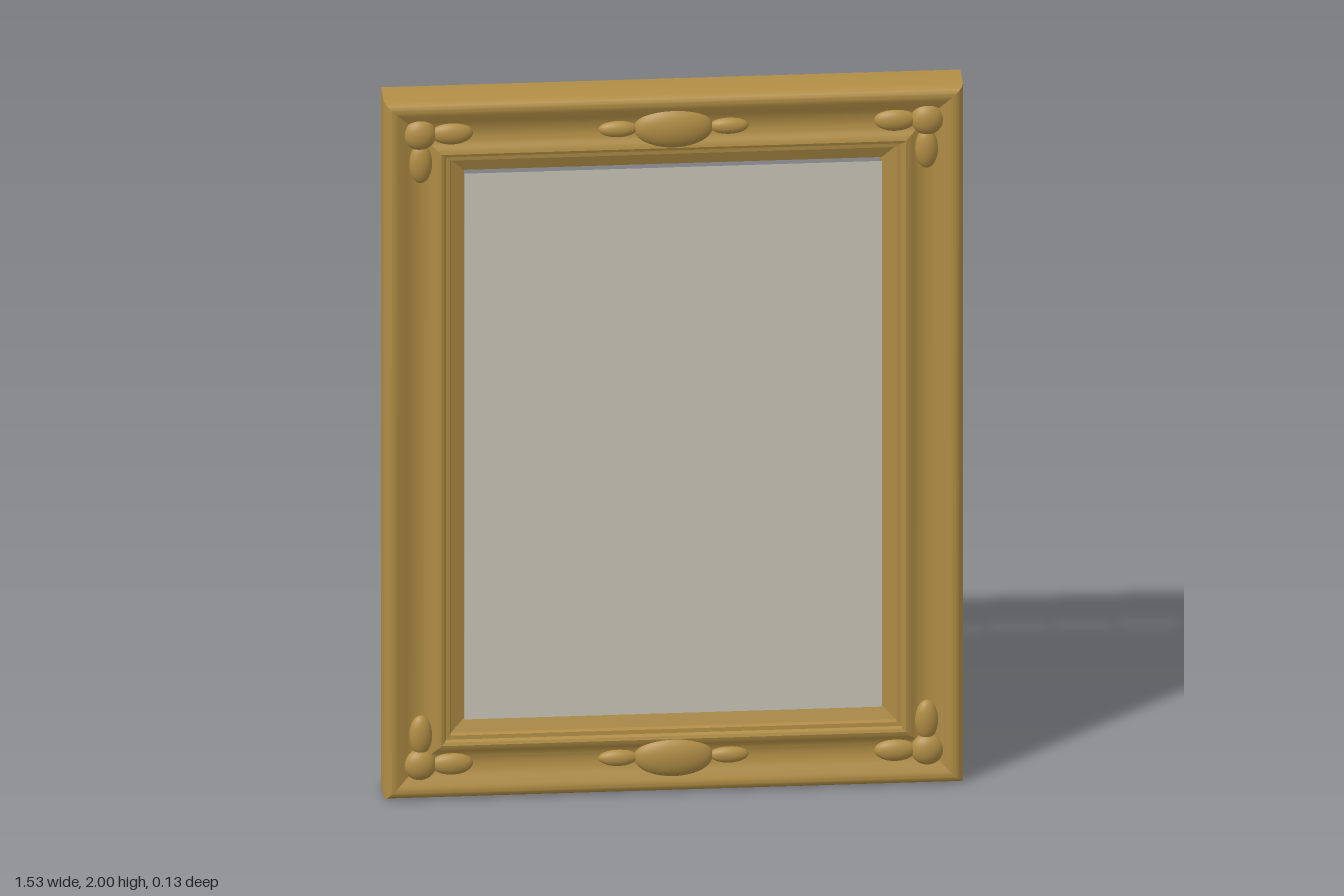
import * as THREE from 'three';
import { toCreasedNormals, mergeGeometries } from 'three/addons/utils/BufferGeometryUtils.js';

const W = 0.767, H = 1; // outer half width and half height

const gold = new THREE.MeshStandardMaterial({ color: 0xb08d45 });
gold.name = 'antique gold';
const glass = new THREE.MeshStandardMaterial({ color: 0xc8c4b8, side: THREE.DoubleSide });
glass.name = 'pale grey glass';

// Moulding cross-section as [inset from outer edge, z], from inner back round to outer back
function mouldingProfile() {
  const inner = [[0.214, -0.066], [0.214, 0.005], [0.178, 0.02], [0.175, 0.032], [0.164, 0.033], [0.16, 0.044]];
  const cove = new THREE.CatmullRomCurve3([
    [0.152, 0.047], [0.142, 0.044], [0.122, 0.034], [0.1, 0.03], [0.075, 0.034],
    [0.048, 0.046], [0.03, 0.053], [0.016, 0.052], [0.006, 0.044], [0, 0.028],
  ].map(([i, z]) => new THREE.Vector3(i, z, 0)));
  return [...inner, ...cove.getPoints(36).map((p) => [p.x, p.y]), [0, -0.066], [0.214, -0.066]];
}

// One mitred rail between two neighbouring corners
function rail(from, to, profile) {
  const at = ([sx, sy], [i, z]) => [sx * (W - i), sy * (H - i), z];
  const pos = [];
  for (let j = 0; j < profile.length - 1; j++) {
    const a = at(from, profile[j]), b = at(to, profile[j]);
    const c = at(to, profile[j + 1]), d = at(from, profile[j + 1]);
    pos.push(...a, ...d, ...c, ...a, ...c, ...b);
  }
  const geo = new THREE.BufferGeometry();
  geo.setAttribute('position', new THREE.Float32BufferAttribute(pos, 3));
  return toCreasedNormals(geo, 0.6);
}

export function createModel() {
  const model = new THREE.Group();
  model.name = 'pictureFrame';
  const body = new THREE.Group();
  body.position.y = H;
  model.add(body);

  const add = (name, geometry, material, parent = body) => {
    const mesh = new THREE.Mesh(geometry, material);
    mesh.name = name;
    parent.add(mesh);
    return mesh;
  };

  // Moulded frame
  const profile = mouldingProfile();
  const corners = [[1, 1], [-1, 1], [-1, -1], [1, -1]];
  add('frame', mergeGeometries(corners.map((c, k) => rail(c, corners[(k + 1) % 4], profile))), gold);

  // Pane, standing just in front of the inner edge
  add('pane', new THREE.PlaneGeometry(1.106, 1.566), glass).position.z = 0.024;

  // Carved ornaments, all flattened spheres
  const ball = new THREE.SphereGeometry(1, 32, 20);
  const bead = (name, parent, x, y, z, rx, ry, rz) => {
    const mesh = add(name, ball, gold, parent);
    mesh.position.set(x, y, z);
    mesh.scale.set(rx, ry, rz);
  };

  for (const sy of [1, -1]) {
    const centre = new THREE.Group();
    centre.name = sy > 0 ? 'topOrnament' : 'bottomOrnament';
    body.add(centre);
    bead('medallion', centre, 0, sy * 0.902, 0.032, 0.105, 0.058, 0.034);
    for (const sx of [1, -1]) {
      bead('sideLeaf', centre, sx * 0.147, sy * 0.902, 0.032, 0.052, 0.023, 0.02);

      const corner = new THREE.Group();
      corner.name = (sy > 0 ? 'top' : 'bottom') + (sx > 0 ? 'Left' : 'Right') + 'CornerOrnament';
      body.add(corner);
      bead('boss', corner, sx * 0.672, sy * 0.904, 0.032, 0.044, 0.044, 0.03);
      bead('acrossLeaf', corner, sx * 0.587, sy * 0.904, 0.032, 0.056, 0.031, 0.023);
      bead('uprightLeaf', corner, sx * 0.67, sy * 0.82, 0.032, 0.031, 0.056, 0.023);
    }
  }
  return model;
}
